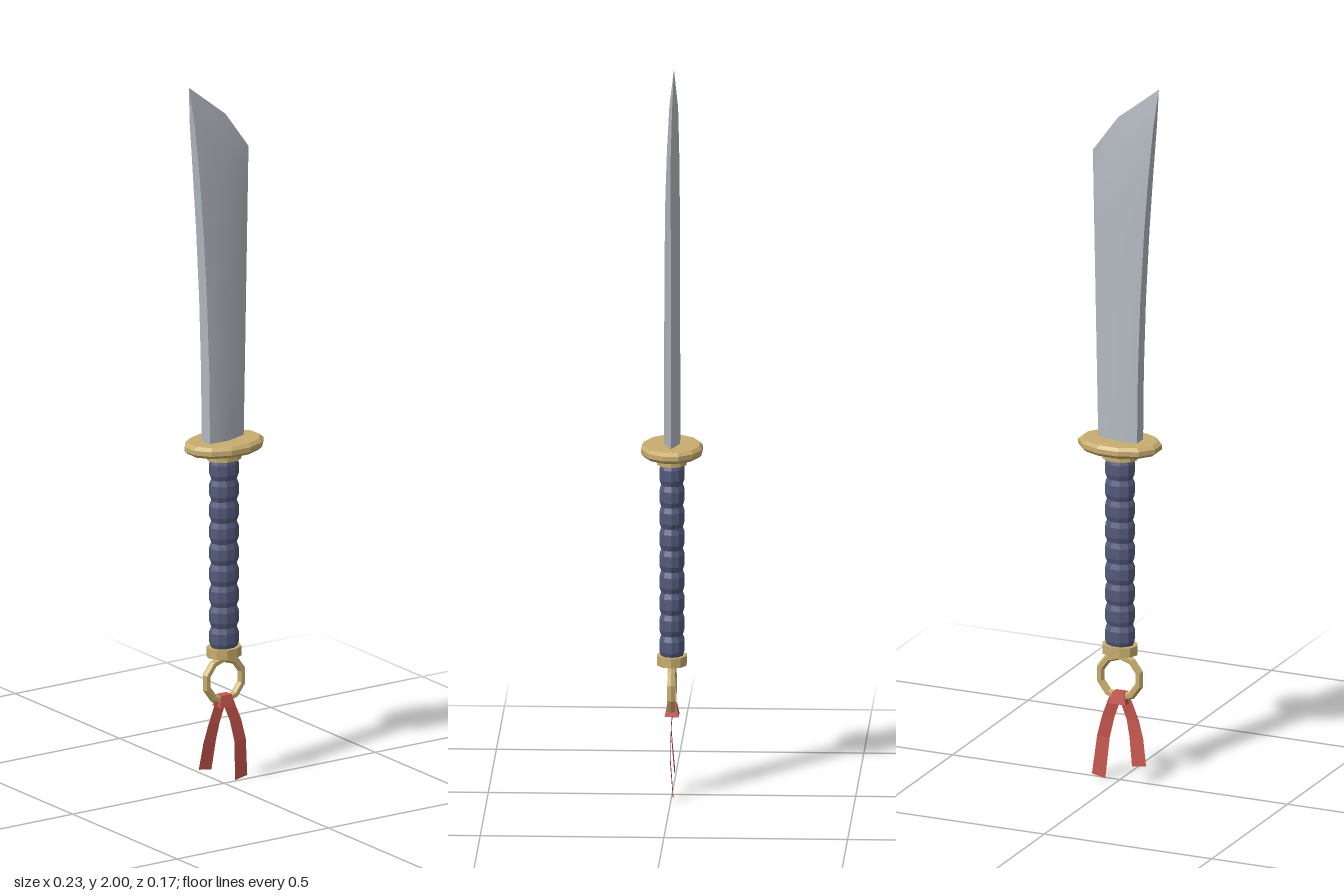
import * as THREE from 'three';
import { toCreasedNormals } from 'three/addons/utils/BufferGeometryUtils.js';

const paint = (color, extra = {}) => new THREE.MeshStandardMaterial({ color, flatShading: true, ...extra });
const gold = paint(0xc8ad6e);
const navy = paint(0x535a7c);
const red = paint(0xc4544c, { side: THREE.DoubleSide });
const steel = paint(0xb4b9c1, { flatShading: false });

function addMesh(parent, name, geometry, material) {
  const mesh = new THREE.Mesh(geometry, material);
  mesh.name = name;
  parent.add(mesh);
  return mesh;
}

// Faceted oval solid turned from a [radius, y] profile listed upwards
function oval(parent, name, profile, sides, depth, material) {
  const points = profile.map(([r, y]) => new THREE.Vector2(r, y));
  const geometry = new THREE.LatheGeometry(points, sides, Math.PI / sides);
  geometry.scale(1, 1, depth);
  return addMesh(parent, name, geometry, material);
}

// Surface from closed loops of points, stacked upwards, with a flat base
function loft(rings) {
  const n = rings[0].length;
  const index = [];
  for (let j = 0; j < rings.length - 1; j++) {
    for (let i = 0; i < n; i++) {
      const a = j * n + i, b = j * n + (i + 1) % n;
      index.push(a, b, b + n, a, b + n, a + n);
    }
  }
  for (let i = 1; i < n - 1; i++) index.push(0, i + 1, i);
  const geometry = new THREE.BufferGeometry();
  geometry.setAttribute('position', new THREE.Float32BufferAttribute(rings.flat(2), 3));
  geometry.setIndex(index);
  return geometry;
}

// Blade: thick flat spine at -x, cutting edge at +x, clipped sharp top
function bladeGeometry() {
  const base = 0.975;
  const thickness = [[0, 1], [0.2, 0.99], [0.4, 0.95], [0.6, 0.9], [0.75, 0.82], [0.9, 0.6], [1, 0]];
  const rings = thickness.map(([t, k]) => {
    const y = top => base + (top - base) * t;
    const spine = -0.06 - 0.056 * t * t, mid = 0.005 * t, edge = 0.065 + 0.016 * t;
    const zs = 0.02 * k, zm = 0.022 * k;
    return [
      [edge, y(1.8), 0],
      [mid, y(1.905), -zm],
      [spine, y(2), -zs],
      [spine, y(2), zs],
      [mid, y(1.905), zm],
    ];
  });
  return toCreasedNormals(loft(rings), Math.PI / 6);
}

// Ribbon strip through [left x, right x, y, z] rows
function ribbonGeometry(rows) {
  const positions = rows.flatMap(([l, r, y, z, tilt = 0]) => [l, y + tilt, z, r, y, z]);
  const index = [];
  for (let i = 0; i < rows.length - 1; i++) {
    const a = i * 2;
    index.push(a, a + 2, a + 1, a + 1, a + 2, a + 3);
  }
  const geometry = new THREE.BufferGeometry();
  geometry.setAttribute('position', new THREE.Float32BufferAttribute(positions, 3));
  geometry.setIndex(index);
  geometry.computeVertexNormals();
  return geometry;
}

export function createModel() {
  const sword = new THREE.Group();
  sword.name = 'sword';

  addMesh(sword, 'blade', bladeGeometry(), steel);

  // Guard and the collars at both ends of the grip
  oval(sword, 'guard', [[0, 0.95], [0.108, 0.95], [0.119, 0.959], [0.119, 0.972], [0.108, 0.981], [0, 0.981]],
    12, 0.72, gold);
  oval(sword, 'upperCollar', [[0, 0.925], [0.051, 0.925], [0.051, 0.952], [0, 0.952]], 10, 0.82, gold);
  oval(sword, 'lowerCollar', [[0, 0.364], [0.051, 0.364], [0.051, 0.391], [0, 0.391]], 10, 0.82, gold);

  // Grip: a stack of bulging wraps
  const wraps = 9, bottom = 0.388, step = (0.928 - bottom) / wraps;
  const profile = [];
  for (let i = 0; i < wraps; i++) {
    const y = bottom + i * step;
    profile.push([0.037, y], [0.043, y + step * 0.25], [0.043, y + step * 0.75]);
  }
  profile.push([0.037, bottom + wraps * step]);
  oval(sword, 'grip', profile, 10, 0.82, navy);

  // Pommel ring
  const ring = addMesh(sword, 'pommelRing', new THREE.TorusGeometry(0.06, 0.012, 6, 10), gold);
  ring.position.y = 0.297;
  ring.rotation.z = Math.PI / 10;

  // Ribbon: knot round the ring and two hanging tails
  const ribbon = new THREE.Group();
  ribbon.name = 'ribbon';
  sword.add(ribbon);
  const knot = addMesh(ribbon, 'ribbonKnot', new THREE.CylinderGeometry(0.024, 0.036, 0.032, 4, 1, false, Math.PI / 4), red);
  knot.scale.z = 0.75;
  knot.position.y = 0.238;
  addMesh(ribbon, 'rightTail', ribbonGeometry([
    [-0.03, 0.006, 0.238, 0.003], [-0.055, -0.018, 0.175, 0.004],
    [-0.069, -0.028, 0.125, 0.001], [-0.08, -0.038, 0.045, -0.005, 0.006],
  ]), red);
  addMesh(ribbon, 'leftTail', ribbonGeometry([
    [-0.006, 0.03, 0.238, -0.003], [0.018, 0.055, 0.175, 0.002],
    [0.032, 0.07, 0.115, 0.003], [0.041, 0.081, 0.008, -0.006, -0.008],
  ]), red);

  return sword;
}
